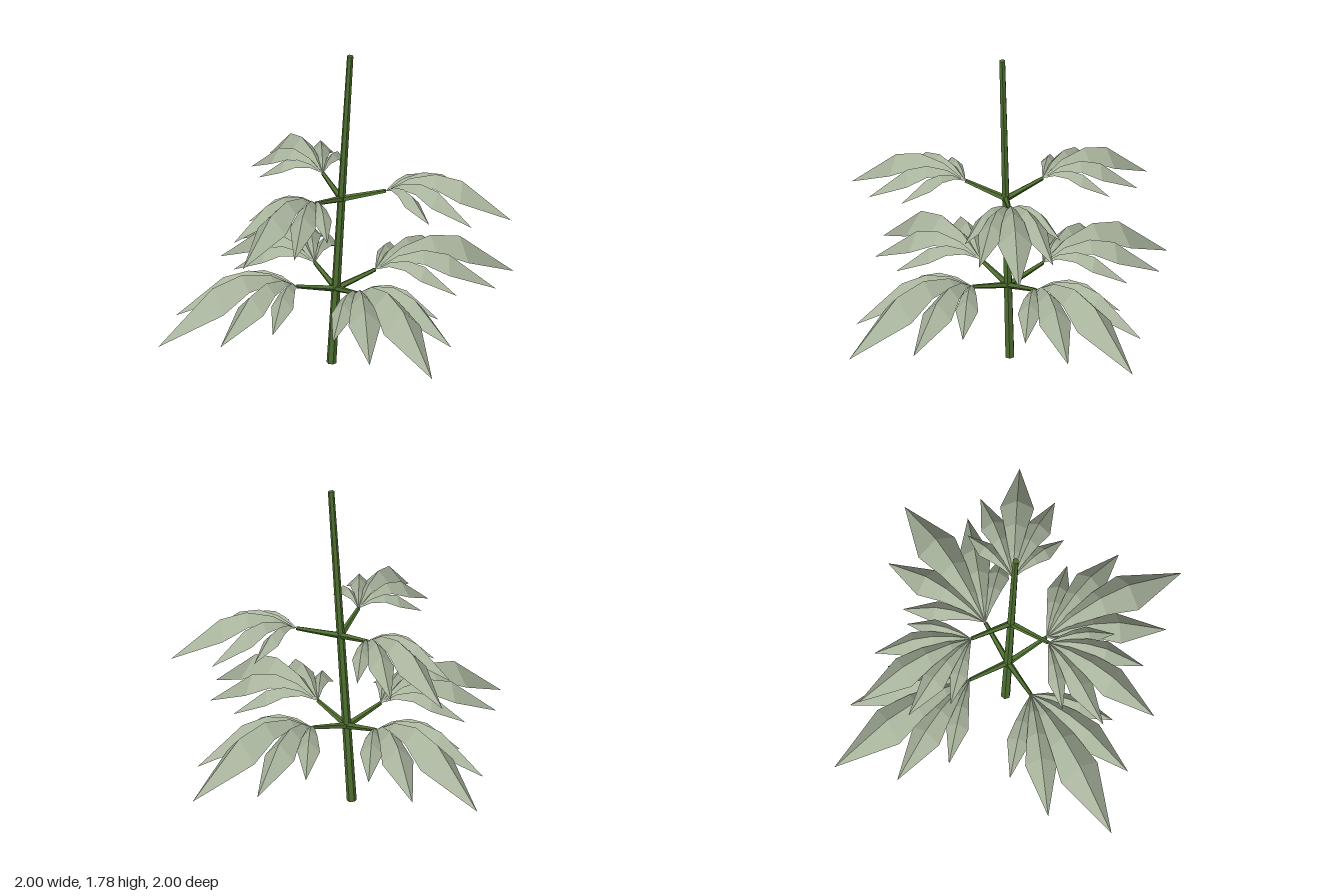
import * as THREE from 'three';

const stemMat = new THREE.MeshStandardMaterial({ color: 0x4f7030, flatShading: true });
stemMat.name = 'stem green';
const leafMat = new THREE.MeshStandardMaterial({ color: 0xa9b49d, flatShading: true, side: THREE.DoubleSide });
leafMat.name = 'sage leaf';

// Tapered rod between two points
function rod(name, from, to, r0, r1, sides) {
  const dir = to.clone().sub(from);
  const mesh = new THREE.Mesh(new THREE.CylinderGeometry(r1, r0, dir.length(), sides), stemMat);
  mesh.position.copy(from).add(to).multiplyScalar(0.5);
  mesh.quaternion.setFromUnitVectors(new THREE.Vector3(0, 1, 0), dir.normalize());
  mesh.name = name;
  return mesh;
}

// Arched leaflet of unit length along +x: a raised midrib with both halves folded down
// Each section: distance along, midrib height, half width
const SECTIONS = [[0, 0, 0], [0.19, 0.115, 0.042], [0.4, 0.158, 0.09], [0.61, 0.108, 0.134], [1, -0.215, 0]];
function leafletGeometry() {
  const pos = [];
  for (const side of [1, -1]) {
    const rib = ([x, y]) => [x, y, 0];
    const edge = ([x, y, w]) => [x - w * 0.06, y - w * 1.02, side * w];
    const tri = (a, b, c) => pos.push(...a, ...(side > 0 ? b : c), ...(side > 0 ? c : b));
    for (let i = 0; i < SECTIONS.length - 1; i++) {
      const a = SECTIONS[i], b = SECTIONS[i + 1];
      if (a[2] > 0) tri(rib(a), edge(a), rib(b));
      if (b[2] > 0) tri(edge(a), edge(b), rib(b));
    }
  }
  const g = new THREE.BufferGeometry();
  g.setAttribute('position', new THREE.Float32BufferAttribute(pos, 3));
  g.computeVertexNormals();
  return g;
}

export function createModel() {
  const plant = new THREE.Group();
  plant.name = 'plant';
  const leaflet = leafletGeometry();
  const rad = THREE.MathUtils.degToRad;

  // Leaning main stem
  const base = new THREE.Vector3(-0.027, 0, 0.003);
  const top = new THREE.Vector3(0.085, 1.78, -0.02);
  plant.add(rod('stem', base, top, 0.026, 0.017, 6));

  // Whorls of stalked, five-fingered leaves
  const whorls = [
    { name: 'lowerLeaf', y: 0.43, count: 4, start: 19.8, length: 0.83, rise: 0.06 },
    { name: 'upperLeaf', y: 0.95, count: 3, start: -36.5, length: 0.665, rise: 0.055 },
  ];
  for (const w of whorls) {
    const node = base.clone().lerp(top, w.y / top.y);
    for (let i = 0; i < w.count; i++) {
      const angle = rad(w.start + (360 / w.count) * i);
      const end = node.clone().add(new THREE.Vector3(Math.cos(angle) * 0.234, w.rise, Math.sin(angle) * 0.234));
      const leaf = new THREE.Group();
      leaf.name = w.name;
      leaf.add(rod('leafStalk', node, end, 0.018, 0.011, 5));
      for (let k = -2; k <= 2; k++) {
        const finger = new THREE.Mesh(leaflet, leafMat);
        finger.name = 'leaflet';
        finger.position.copy(end);
        finger.rotation.y = -(angle + rad(22.5 * k));
        finger.scale.setScalar(w.length * (1 - 0.23 * Math.abs(k)));
        leaf.add(finger);
      }
      plant.add(leaf);
    }
  }
  return plant;
}
